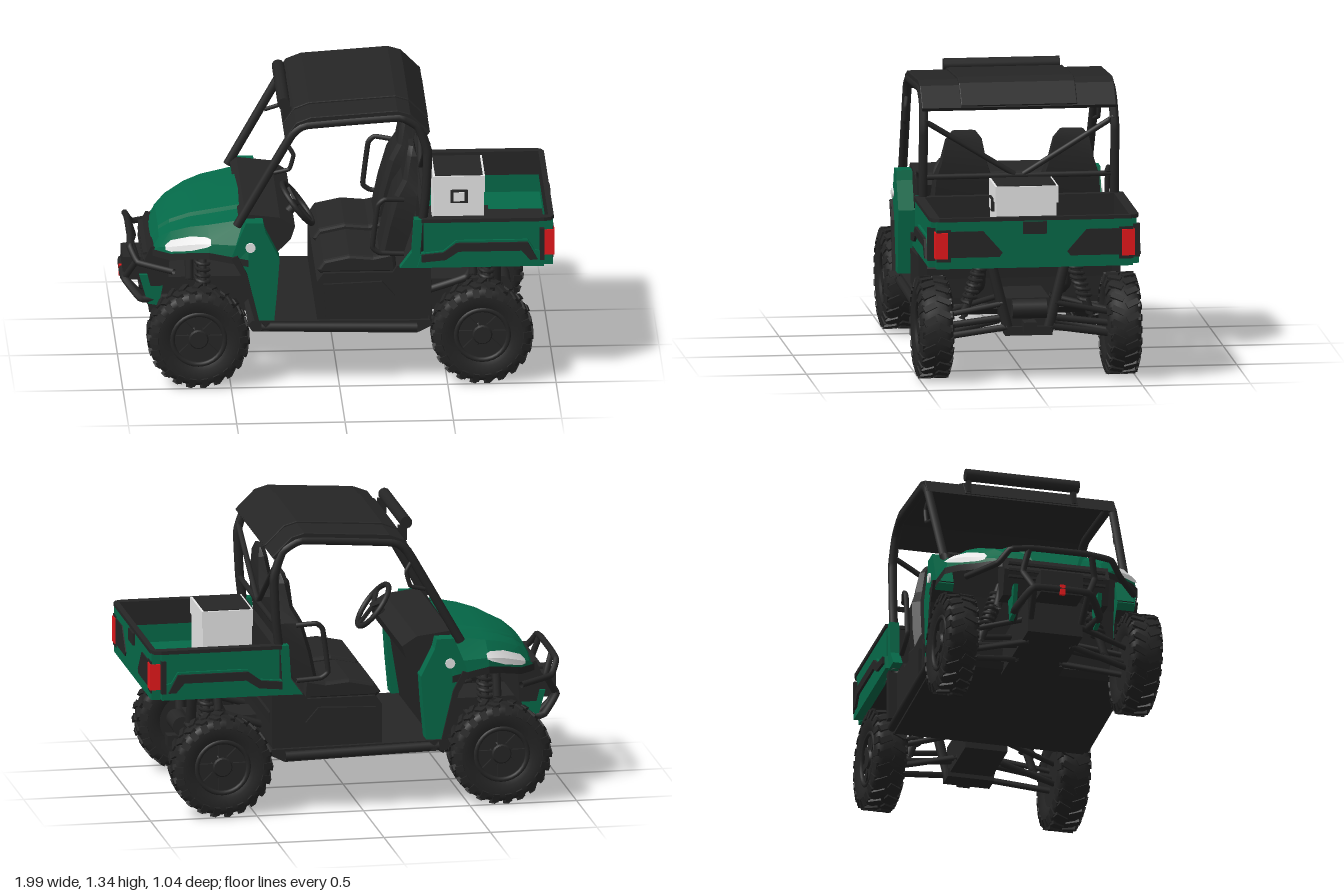
import * as THREE from 'three';
import { mergeGeometries, toCreasedNormals } from 'three/addons/utils/BufferGeometryUtils.js';

const mat = (name, color, side = THREE.FrontSide) => {
  const m = new THREE.MeshStandardMaterial({ color, side });
  m.name = name;
  return m;
};

export function createModel() {
  const root = new THREE.Group();
  root.name = 'utilityVehicle';
  const green = mat('green paint', 0x056a49, THREE.DoubleSide);
  const black = mat('black plastic', 0x262626, THREE.DoubleSide);
  const rubber = mat('tyre rubber', 0x252525);
  const white = mat('white', 0xffffff, THREE.DoubleSide);
  const red = mat('red', 0xf41a1e);

  const V = (p) => new THREE.Vector3(...p);
  const add = (name, geo, m, parent = root) => {
    const mesh = new THREE.Mesh(geo, m);
    mesh.name = name;
    parent.add(mesh);
    return mesh;
  };
  const box = (name, m, [x0, x1], [y0, y1], [z0, z1]) => {
    const g = new THREE.BoxGeometry(x1 - x0, y1 - y0, Math.abs(z1 - z0));
    return add(name, g.translate((x0 + x1) / 2, (y0 + y1) / 2, (z0 + z1) / 2), m);
  };
  const shapeOf = (pts) => new THREE.Shape(pts.map((p) => new THREE.Vector2(...p)));
  // Side profile (x, y) extruded across z, with an optional bevel
  const slab = (name, m, pts, z0, z1, bevel = 0) => {
    const lo = Math.min(z0, z1), depth = Math.abs(z1 - z0) - 2 * bevel;
    const g = new THREE.ExtrudeGeometry(shapeOf(pts), {
      depth, bevelEnabled: bevel > 0, bevelSize: bevel, bevelOffset: -bevel, bevelThickness: bevel, bevelSegments: 2,
    });
    return add(name, g.translate(0, 0, lo + bevel), m);
  };
  const tube = (name, pts, r) => add(name, new THREE.TubeGeometry(
    new THREE.CatmullRomCurve3(pts.map(V), false, 'catmullrom', 0.15), pts.length * 8, r, 8), black);
  const both = (fn) => [1, -1].forEach(fn);
  const mirrorPath = (half) => [...half, ...half.slice().reverse().map(([x, y, z]) => [x, y, -z])];
  // Skin over cross-sections that all have the same number of points
  const loft = (sections) => {
    const n = sections[0].length, idx = [];
    for (let i = 0; i < sections.length - 1; i++)
      for (let j = 0; j < n - 1; j++) {
        const a = i * n + j, c = a + n;
        idx.push(a, a + 1, c, a + 1, c + 1, c);
      }
    const g = new THREE.BufferGeometry();
    g.setAttribute('position', new THREE.Float32BufferAttribute(sections.flat(2), 3));
    g.setIndex(idx);
    g.computeVertexNormals();
    return toCreasedNormals(g, 0.25);
  };

  // Wheels: rounded tyre, chevron lugs, recessed spoked rim
  const half = [[0.12, 0.055], [0.15, 0.07], [0.195, 0.075], [0.218, 0.064], [0.228, 0.04]];
  const profile = [...half.map(([r, y]) => [r, -y]), ...half.slice().reverse()];
  const tyre = new THREE.LatheGeometry(profile.map((p) => new THREE.Vector2(...p)), 40).rotateX(Math.PI / 2);
  const lugs = [];
  for (let i = 0; i < 22; i++) both((s) => {
    const a = (i + (s > 0 ? 0.5 : 0)) * Math.PI * 2 / 22;
    const main = new THREE.BoxGeometry(0.028, 0.018, 0.062).rotateY(s * 0.45).translate(0, 0.227, s * 0.034);
    const shoulder = new THREE.BoxGeometry(0.03, 0.04, 0.012).rotateX(-s * 0.3).translate(0, 0.207, s * 0.07);
    lugs.push(main.rotateZ(a), shoulder.rotateZ(a));
  });
  const rimParts = [
    new THREE.CylinderGeometry(0.128, 0.128, 0.1, 32).rotateX(Math.PI / 2).translate(0, 0, -0.01),
    new THREE.TorusGeometry(0.122, 0.012, 8, 32).translate(0, 0, 0.056),
    new THREE.CylinderGeometry(0.04, 0.06, 0.03, 16).rotateX(Math.PI / 2).translate(0, 0, 0.05),
  ];
  for (let i = 0; i < 8; i++)
    rimParts.push(new THREE.BoxGeometry(0.036, 0.09, 0.02).translate(0, 0.075, 0.045).rotateZ(i * Math.PI / 4));
  const lugGeo = mergeGeometries(lugs), rimGeo = mergeGeometries(rimParts);
  for (const x of [-0.65, 0.66]) both((s) => {
    const wheel = new THREE.Group();
    wheel.name = (x < 0 ? 'front' : 'rear') + (s > 0 ? 'Left' : 'Right') + 'Wheel';
    wheel.position.set(x, 0.24, s * 0.437);
    if (s < 0) wheel.rotation.y = Math.PI;
    add('tyre', tyre, rubber, wheel);
    add('tread', lugGeo, rubber, wheel);
    add('rim', rimGeo, black, wheel);
    root.add(wheel);
    // Suspension arms, axle and coil-over shock
    for (const d of [-0.1, 0.1]) {
      tube('lowerArm', [[x + d, 0.25, s * 0.1], [x + d * 0.4, 0.2, s * 0.38]], 0.015);
      tube('upperArm', [[x + d, 0.36, s * 0.12], [x + d * 0.4, 0.3, s * 0.38]], 0.013);
    }
    tube('axle', [[x, 0.29, 0], [x, 0.24, s * 0.4]], 0.016);
    const sx = x + 0.03;
    tube('shock', [[sx, 0.28, s * 0.3], [sx, 0.58, s * 0.2]], 0.02);
    tube('shockReservoir', [[sx - 0.06, 0.44, s * 0.23], [sx - 0.06, 0.58, s * 0.2]], 0.02);
    const coil = [];
    for (let i = 0; i <= 56; i++) {
      const a = i * Math.PI / 4, t = i / 56;
      coil.push([sx + Math.cos(a) * 0.03, 0.36 + t * 0.18, s * (0.273 - t * 0.06) + Math.sin(a) * 0.03]);
    }
    add('spring', new THREE.TubeGeometry(new THREE.CatmullRomCurve3(coil.map(V)), 112, 0.009, 5), black);
  });

  // Chassis, belly pan and rear frame
  slab('bellyPan', black, [[-0.42, 0.29], [-0.4, 0.26], [0.36, 0.24], [0.44, 0.28], [0.42, 0.3], [-0.4, 0.31]], -0.45, 0.45);
  box('frontChassis', black, [-0.86, -0.36], [0.25, 0.42], [-0.13, 0.13]);
  box('rearChassis', black, [0.4, 0.74], [0.23, 0.38], [-0.1, 0.1]);
  box('wheelWellPanel', black, [0.385, 0.425], [0.33, 0.572], [-0.47, 0.47]);
  both((s) => {
    tube('rearFrameLeg', [[0.74, 0.58, s * 0.18], [0.74, 0.22, s * 0.09]], 0.024);
    tube('bedRail', [[0.42, 0.36, s * 0.2], [0.6, 0.42, s * 0.2], [0.68, 0.56, s * 0.2], [0.92, 0.575, s * 0.19]], 0.018);
    tube('sill', [[-0.36, 0.285, s * 0.46], [0.36, 0.27, s * 0.46]], 0.022);
  });
  box('rearSkid', black, [0.68, 0.77], [0.21, 0.25], [-0.11, 0.11]);
  box('hitch', black, [0.74, 0.83], [0.23, 0.28], [-0.03, 0.03]);
  add('muffler', new THREE.CylinderGeometry(0.045, 0.045, 0.16, 20).rotateX(Math.PI / 2).translate(0.77, 0.335, 0), black);

  // Hood and fenders: x, ridge height, half width, edge height
  const hood = [[-0.855, 0.61, 0.23, 0.58], [-0.82, 0.675, 0.28, 0.585], [-0.77, 0.715, 0.335, 0.59],
    [-0.68, 0.755, 0.4, 0.615], [-0.6, 0.775, 0.445, 0.63], [-0.42, 0.808, 0.472, 0.6]];
  add('hood', loft(hood.map(([x, c, w, e]) => {
    const h = [[0, c], [w * 0.45, c - 0.004], [w * 0.5, c - 0.016], [w * 0.8, c - 0.024], [w, e + 0.4 * (c - e)], [w + 0.01, e]];
    return [...h.slice(1).reverse().map(([z, y]) => [x, y, -z]), ...h.map(([z, y]) => [x, y, z])];
  })), green);
  // Hood row at any x, between the rows above
  const hoodAt = (x) => {
    const i = hood.findIndex((r, k) => k > 0 && r[0] >= x);
    const t = (x - hood[i - 1][0]) / (hood[i][0] - hood[i - 1][0]);
    return hood[i].map((v, k) => hood[i - 1][k] + t * (v - hood[i - 1][k]));
  };
  both((s) => {
    add('fenderTrim', loft(hood.map(([x, , w, e]) => [[x, e + 0.02, s * (w + 0.014)], [x, e - 0.012, s * (w + 0.015)]])), black);
    // Headlight wraps the fender crease: x, drop below it, share of the slope above it
    add('headlight', loft([[-0.795, 0.01, 0.08], [-0.77, 0.02, 0.38], [-0.68, 0.026, 0.42], [-0.61, 0.012, 0.32], [-0.59, 0.002, 0.2]]
      .map(([px, drop, up]) => {
        const [x, c, w, e] = hoodAt(px), mid = e + 0.4 * (c - e);
        return [[x, mid + up * (c - 0.024 - mid) + 0.006, s * (w - up * 0.2 * w + 0.006)], [x, mid + 0.002, s * (w + 0.008)], [x, mid - drop, s * (w + 0.014)]];
      })), white);
    slab('fenderSide', green, [[-0.5, 0.62], [-0.44, 0.54], [-0.38, 0.32], [-0.3, 0.32], [-0.285, 0.48], [-0.275, 0.62],
      [-0.34, 0.75], [-0.35, 0.795], [-0.43, 0.795], [-0.47, 0.7]], s * 0.39, s * 0.474);
    slab('archTrim', black, [[-0.5, 0.63], [-0.45, 0.54], [-0.39, 0.32], [-0.37, 0.32], [-0.425, 0.55], [-0.47, 0.64]], s * 0.39, s * 0.488);
    add('sideMarker', new THREE.CylinderGeometry(0.023, 0.023, 0.009, 16).rotateX(Math.PI / 2).translate(-0.41, 0.68, s * 0.485), white);
    slab('lowerNosePlate', green, [[-0.91, 0.46], [-0.87, 0.32], [-0.82, 0.31], [-0.79, 0.46]], s * 0.19, s * 0.21);
  });

  // Grille, bumper and winch
  slab('grille', black, [[-0.858, 0.612], [-0.89, 0.54], [-0.86, 0.42], [-0.78, 0.42], [-0.77, 0.59]], -0.25, 0.25);
  for (let i = 0; i < 3; i++) box('grilleBar', black, [-0.895, -0.86], [0.5 + i * 0.033, 0.512 + i * 0.033], [-0.23, 0.23]);
  tube('brushGuard', mirrorPath([[-0.76, 0.54, 0.4], [-0.92, 0.55, 0.29], [-0.955, 0.61, 0.24], [-0.95, 0.63, 0.12]]), 0.015);
  tube('lowerBumper', mirrorPath([[-0.78, 0.34, 0.18], [-0.9, 0.34, 0.2], [-0.975, 0.42, 0.13]]), 0.018);
  both((s) => tube('bumperUpright', [[-0.95, 0.62, s * 0.15], [-0.92, 0.52, s * 0.17], [-0.97, 0.42, s * 0.13], [-0.87, 0.31, s * 0.12]], 0.015));
  box('winch', black, [-0.98, -0.85], [0.4, 0.51], [-0.1, 0.1]);
  box('towHook', red, [-0.995, -0.98], [0.39, 0.44], [-0.012, 0.012]);

  // Dash, cowl and steering
  slab('dash', black, [[-0.46, 0.79], [-0.43, 0.815], [-0.27, 0.795], [-0.2, 0.75], [-0.22, 0.69], [-0.29, 0.62],
    [-0.34, 0.31], [-0.39, 0.31], [-0.43, 0.6]], -0.4, 0.4);
  const steering = new THREE.Group();
  steering.name = 'steeringWheel';
  steering.position.set(-0.18, 0.795, 0.2);
  steering.rotation.z = -0.92;
  add('rim', new THREE.TorusGeometry(0.115, 0.013, 8, 32).rotateX(Math.PI / 2), black, steering);
  for (let i = 0; i < 3; i++)
    add('spoke', new THREE.BoxGeometry(0.11, 0.012, 0.028).translate(0.055, 0, 0).rotateY(i * Math.PI * 2 / 3), black, steering);
  root.add(steering);
  tube('steeringColumn', [[-0.18, 0.795, 0.2], [-0.32, 0.66, 0.2]], 0.022);

  // Seats and seat box
  slab('seatBox', black, [[-0.1, 0.28], [-0.1, 0.49], [-0.07, 0.53], [0.25, 0.53], [0.27, 0.56], [0.39, 0.56],
    [0.43, 0.47], [0.41, 0.27], [-0.06, 0.27]], -0.43, 0.43);
  both((s) => {
    slab('seatBoxPanel', black, [[-0.06, 0.32], [-0.07, 0.48], [0.2, 0.49], [0.26, 0.42], [0.24, 0.32]], s * 0.42, s * 0.445);
    slab('seatCushion', black, [[-0.1, 0.54], [-0.07, 0.585], [0.05, 0.61], [0.16, 0.6], [0.26, 0.62], [0.27, 0.52], [-0.08, 0.52]], s * 0.03, s * 0.41, 0.015);
    // Seat back: height, half width, front and rear x
    const rows = [[0.6, 0.14, 0.19, 0.3], [0.74, 0.145, 0.22, 0.345], [0.88, 0.135, 0.26, 0.365], [0.95, 0.11, 0.3, 0.37],
      [1.06, 0.085, 0.32, 0.365], [1.1, 0.055, 0.33, 0.355]];
    const zc = s * 0.25;
    add('seatBack', loft([...rows.map(([y, w, f, b]) => [[f + 0.02, y, zc - w], [f, y, zc - w * 0.75], [f, y, zc + w * 0.75],
      [f + 0.02, y, zc + w], [b, y, zc + w * 0.95], [b, y, zc - w * 0.95], [f + 0.02, y, zc - w]]),
    Array(7).fill([0.345, 1.102, zc])]), black);
    tube('hipBar', [[0.3, 0.88, s * 0.42], [0.21, 0.89, s * 0.44], [0.18, 0.86, s * 0.44], [0.155, 0.66, s * 0.44], [0.19, 0.63, s * 0.44], [0.3, 0.62, s * 0.43]], 0.012);
    slab('cornerPanel', green, [[0.28, 0.565], [0.37, 0.565], [0.385, 0.8], [0.345, 0.8], [0.335, 0.64]], s * 0.43, s * 0.475);
    // Roll cage
    tube('cageSide', [[-0.47, 0.77, s * 0.43], [-0.22, 1.21, s * 0.44], [-0.15, 1.26, s * 0.44], [0.28, 1.29, s * 0.44],
      [0.37, 1.24, s * 0.44], [0.41, 1.12, s * 0.445], [0.4, 0.9, s * 0.445], [0.36, 0.56, s * 0.445]], 0.021);
    tube('cageBrace', [[0.41, 1.16, s * 0.44], [0.4, 0.9, s * 0.02]], 0.013);
    tube('grabHandle', [[-0.24, 1.17, s * 0.44], [-0.21, 1.12, s * 0.45], [-0.23, 1.05, s * 0.45], [-0.3, 1.03, s * 0.44]], 0.01);
  });
  tube('cageCrossBar', [[0.4, 0.895, -0.44], [0.4, 0.895, 0.44]], 0.013);

  // Roof with raised centre, and light bar
  const roof = [[-0.25, 1.2], [-0.2, 1.275], [-0.13, 1.302], [0.27, 1.328], [0.33, 1.31], [0.42, 1.22],
    [0.41, 1.205], [0.31, 1.285], [0.26, 1.3], [-0.12, 1.275], [-0.18, 1.25], [-0.235, 1.2]];
  slab('roof', black, roof, -0.452, 0.452, 0.004);
  slab('roofCentre', black, roof.map(([x, y]) => [x, y + 0.01]), -0.27, 0.27, 0.004);
  add('lightBar', new THREE.CylinderGeometry(0.029, 0.029, 0.54, 10).rotateX(Math.PI / 2).translate(-0.245, 1.305, 0), black);
  both((s) => box('lightBarMount', black, [-0.25, -0.21], [1.22, 1.29], [s * 0.24, s * 0.26]));

  // Cargo bed
  both((s) => {
    slab('bedSide', green, [[0.39, 0.62], [0.5, 0.62], [0.54, 0.57], [0.945, 0.57], [0.945, 0.79], [0.39, 0.79]], s * 0.446, s * 0.478);
    box('bedSideLiner', black, [0.41, 0.97], [0.69, 0.79], [s * 0.441, s * 0.448]);
    slab('bedFlare', green, [[0.36, 0.57], [0.945, 0.57], [0.945, 0.64], [0.9, 0.65], [0.87, 0.7], [0.54, 0.7], [0.48, 0.65], [0.38, 0.64]], s * 0.46, s * 0.49);
    slab('flareTrim', black, [[0.38, 0.6], [0.49, 0.61], [0.55, 0.65], [0.84, 0.65], [0.88, 0.605], [0.915, 0.605],
      [0.87, 0.69], [0.54, 0.69], [0.48, 0.645], [0.38, 0.635]], s * 0.48, s * 0.502);
    box('bedFloorSide', green, [0.42, 0.972], [0.585, 0.605], [s * 0.2, s * 0.446]);
    box('bedCorner', green, [0.94, 0.988], [0.567, 0.79], [s * 0.446, s * 0.457]);
    box('tailLightRear', red, [0.986, 0.995], [0.615, 0.737], [s * 0.405, s * 0.464]);
    box('tailLightSide', red, [0.947, 0.99], [0.615, 0.737], [s * 0.455, s * 0.464]);
    box('tailLightSurround', black, [0.985, 0.991], [0.6, 0.75], [s * 0.39, s * 0.458]);
    box('bedCornerTrim', black, [0.925, 0.946], [0.6, 0.755], [s * 0.45, s * 0.494]);
    // Tailgate inset, drawn in (z, y)
    const inset = new THREE.ExtrudeGeometry(shapeOf([[0.15, 0.64], [0.165, 0.62], [0.395, 0.62], [0.395, 0.742], [0.24, 0.742]]
      .map(([z, y]) => [-s * z, y])), { depth: 0.008, bevelEnabled: false });
    add('tailgateInset', inset.rotateY(Math.PI / 2).translate(0.985, 0, 0), black);
  });
  box('bedFloorCentre', black, [0.42, 0.97], [0.585, 0.608], [-0.2, 0.2]);
  box('bedUnderside', black, [0.4, 0.96], [0.572, 0.584], [-0.446, 0.446]);
  box('bedFront', black, [0.39, 0.42], [0.575, 0.8], [-0.45, 0.45]);
  box('tailgate', green, [0.972, 0.988], [0.567, 0.79], [-0.446, 0.446]);
  box('tailgateLiner', black, [0.967, 0.974], [0.69, 0.79], [-0.446, 0.446]);
  box('tailgateHandle', black, [0.98, 0.998], [0.725, 0.782], [-0.055, 0.055]);
  // Rim around the bed with cut rear corners
  const rim = shapeOf([[0.38, -0.486], [0.945, -0.486], [0.978, -0.475], [0.992, -0.445], [0.992, 0.445], [0.978, 0.475], [0.945, 0.486], [0.38, 0.486]]);
  rim.holes.push(shapeOf([[0.42, -0.44], [0.42, 0.44], [0.966, 0.44], [0.966, -0.44]]));
  add('bedRim', new THREE.ExtrudeGeometry(rim, { depth: 0.017, bevelEnabled: false }).rotateX(-Math.PI / 2).translate(0, 0.787, 0), black);

  // Cooler on its tray
  box('coolerTray', black, [0.43, 0.72], [0.605, 0.63], [-0.2, 0.2]);
  box('cooler', white, [0.455, 0.685], [0.63, 0.82], [-0.14, 0.14]);
  box('coolerLid', white, [0.45, 0.69], [0.815, 0.893], [-0.147, 0.145]);
  box('coolerLidPad', black, [0.46, 0.68], [0.89, 0.897], [-0.137, 0.135]);
  box('coolerLatch', black, [0.53, 0.61], [0.765, 0.828], [0.14, 0.153]);
  box('coolerLatchFace', white, [0.545, 0.595], [0.775, 0.818], [0.15, 0.156]);
  return root;
}
